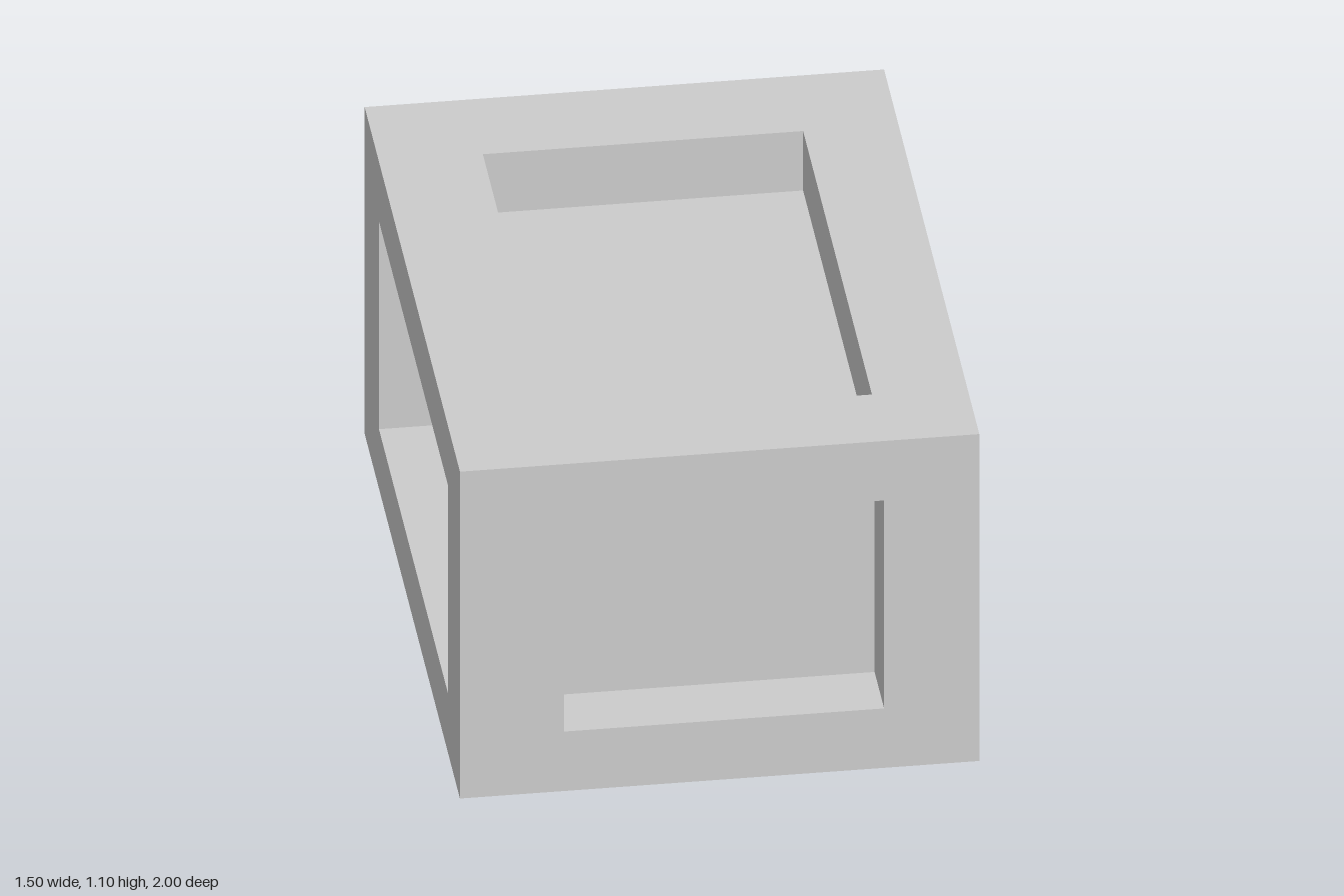
import * as THREE from 'three';

// Extents along x, y, z: block, window openings, and recess depth per axis
const BLOCK = [[-0.75, 0.75], [0, 1.1], [-1, 1]];
const OPENING = [[-0.45, 0.475], [0.2, 0.9], [-0.7, 0.745]];
const DEPTH = [0.225, 0.2, 0.2];

// Four corners of a rectangle lying across the axis, counter-clockwise from outside
function loop(extents, axis, level, side) {
  const b = (axis + 1) % 3, c = (axis + 2) % 3;
  const corners = [[0, 0], [1, 0], [1, 1], [0, 1]].map(([i, j]) => {
    const p = [0, 0, 0];
    p[axis] = level;
    p[b] = extents[b][i];
    p[c] = extents[c][j];
    return p;
  });
  return side > 0 ? corners : corners.reverse();
}

// One side of the block: flat border, recess walls and recess floor
function recessedSide(axis, side) {
  const face = BLOCK[axis][side > 0 ? 1 : 0];
  const rings = [
    loop(BLOCK, axis, face, side),
    loop(OPENING, axis, face, side),
    loop(OPENING, axis, face - side * DEPTH[axis], side),
  ];
  const positions = [];
  const quad = (p, q, r, s) => positions.push(...p, ...q, ...r, ...p, ...r, ...s);
  for (let k = 0; k < 2; k++) {
    for (let i = 0; i < 4; i++) {
      const j = (i + 1) % 4;
      quad(rings[k][i], rings[k][j], rings[k + 1][j], rings[k + 1][i]);
    }
  }
  quad(...rings[2]);
  const geometry = new THREE.BufferGeometry();
  geometry.setAttribute('position', new THREE.Float32BufferAttribute(positions, 3));
  geometry.computeVertexNormals();
  return geometry;
}

export function createModel() {
  const group = new THREE.Group();
  group.name = 'recessedBlock';
  const material = new THREE.MeshStandardMaterial({ color: 0xcccccc, flatShading: true });
  const names = [['rightSide', 'leftSide'], ['bottomSide', 'topSide'], ['backSide', 'frontSide']];

  // Six recessed sides close the block
  names.forEach((pair, axis) => pair.forEach((name, i) => {
    const mesh = new THREE.Mesh(recessedSide(axis, i ? 1 : -1), material);
    mesh.name = name;
    group.add(mesh);
  }));
  return group;
}
